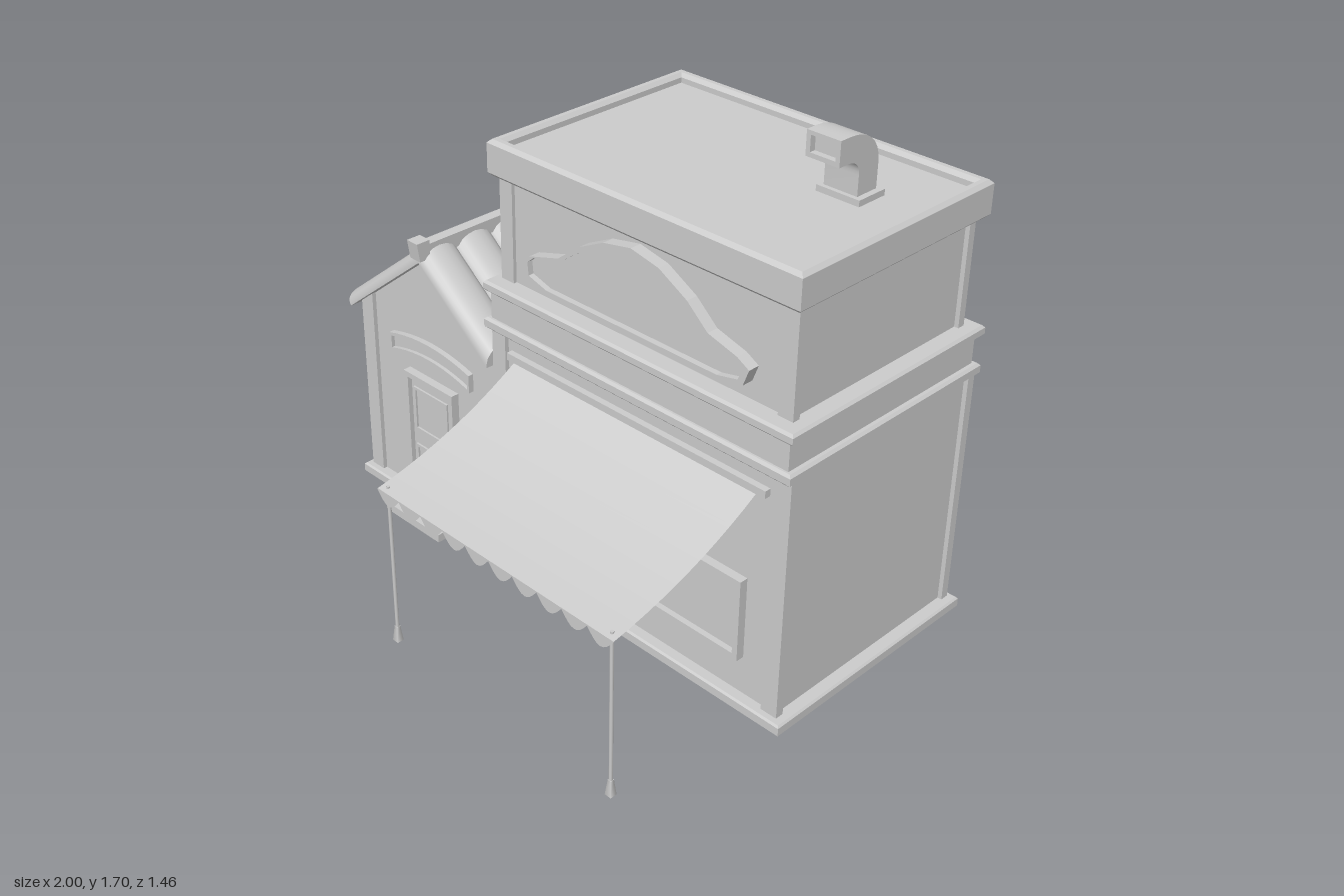
import * as THREE from 'three';
import { toCreasedNormals } from 'three/addons/utils/BufferGeometryUtils.js';

const grey = new THREE.MeshStandardMaterial({ color: 0xcccccc });
const sheet = new THREE.MeshStandardMaterial({ color: 0xcccccc, side: THREE.DoubleSide });

export function createModel() {
  const model = new THREE.Group();

  const add = (name, geo, mat = grey, parent = model) => {
    const m = new THREE.Mesh(geo, mat);
    m.name = name;
    parent.add(m);
    return m;
  };
  const box = (name, x0, x1, y0, y1, z0, z1) => add(name,
    new THREE.BoxGeometry(x1 - x0, y1 - y0, z1 - z0)
      .translate((x0 + x1) / 2, (y0 + y1) / 2, (z0 + z1) / 2));
  const shapeOf = (pts) => new THREE.Shape(pts.map(([x, y]) => new THREE.Vector2(x, y)));
  const rect = (x0, x1, y0, y1) => [[x0, y0], [x1, y0], [x1, y1], [x0, y1]];
  const extrude = (outer, inner, depth) => {
    const s = shapeOf(outer);
    if (inner) s.holes.push(shapeOf(inner));
    return new THREE.ExtrudeGeometry(s, { depth, bevelEnabled: false });
  };

  // Horizontal slab with chamfered edges, optionally a ring with rim width w
  const slab = (name, x0, x1, y0, y1, z0, z1, b, w) => {
    const s = shapeOf(rect(x0, x1, -z1, -z0));
    if (w) s.holes.push(shapeOf(rect(x0 + w, x1 - w, -z1 + w, -z0 - w)));
    const g = new THREE.ExtrudeGeometry(s, {
      depth: y1 - y0 - 2 * b, bevelThickness: b, bevelSize: b, bevelOffset: -b, bevelSegments: 1,
    });
    return add(name, g.rotateX(-Math.PI / 2).translate(0, y0 + b, 0));
  };

  // Raised frame around a thinner panel, standing on a wall at depth z
  const framed = (name, outer, inner, z, depth, panelDepth) => {
    const g = new THREE.Group();
    g.name = name;
    add(name + 'Frame', extrude(outer, inner, depth).translate(0, 0, z), grey, g);
    add(name + 'Panel', extrude(inner, null, panelDepth).translate(0, 0, z), grey, g);
    model.add(g);
    return g;
  };

  // Plinth and hollow shop walls
  slab('plinth', -0.96, 1.0, 0, 0.04, -0.70, 0.19, 0.006, 0.06);
  box('shopFrontWall', -0.23, 0.955, 0.02, 0.88, 0.135, 0.15);
  box('shopBackWall', -0.23, 0.955, 0.02, 0.88, -0.665, -0.65);
  box('shopRightWall', 0.94, 0.955, 0.02, 0.88, -0.66, 0.145);
  box('shopLeftWall', -0.245, -0.23, 0.7, 0.88, -0.66, 0.145);
  for (const [x0, x1] of [[-0.26, -0.20], [0.91, 0.97]])
    for (const [z0, z1] of [[0.135, 0.165], [-0.68, -0.65]])
      box('shopCornerPost', x0, x1, 0.03, 0.88, z0, z1);

  // Cornice band between the storeys
  slab('lowerCornice', -0.28, 0.975, 0.865, 0.905, -0.70, 0.18, 0.008);
  box('corniceBand', -0.26, 0.955, 0.9, 1.0, -0.68, 0.165);
  slab('upperCornice', -0.28, 0.975, 0.998, 1.035, -0.70, 0.18, 0.008);

  // Upper storey, parapet and roof deck
  box('upperStorey', -0.235, 0.915, 1.03, 1.4, -0.64, 0.115);
  for (const [x0, x1] of [[-0.25, -0.195], [0.875, 0.93]])
    for (const [z0, z1] of [[0.1, 0.127], [-0.652, -0.625]])
      box('upperCornerPost', x0, x1, 1.03, 1.4, z0, z1);
  slab('parapet', -0.26, 0.96, 1.39, 1.51, -0.677, 0.165, 0.012, 0.04);
  box('roofDeck', -0.24, 0.94, 1.395, 1.48, -0.655, 0.145);

  // Blank silhouette sign
  const sign = [[-0.12, 1.15], [-0.115, 1.1], [-0.035, 1.075], [0.69, 1.075], [0.77, 1.095],
    [0.79, 1.15], [0.745, 1.175], [0.635, 1.205], [0.555, 1.275], [0.445, 1.335], [0.335, 1.357],
    [0.225, 1.335], [0.125, 1.285], [0.035, 1.215], [-0.09, 1.177]];
  framed('roofSign', sign, sign.map(([x, y]) => [0.335 + (x - 0.335) * 0.955, 1.185 + (y - 1.185) * 0.88]),
    0.11, 0.045, 0.025);

  // Arched side window with sill
  const arch = (r, y0, ys) => {
    const p = [[-r, y0], [r, y0]];
    for (let i = 0; i <= 10; i++) p.push([r * Math.cos(i * Math.PI / 10), ys + r * Math.sin(i * Math.PI / 10)]);
    return p;
  };
  const sideWindow = framed('sideWindow', arch(0.08, 1.05, 1.235), arch(0.058, 1.07, 1.235), 0, 0.025, 0.006);
  add('windowBar', new THREE.BoxGeometry(0.012, 0.22, 0.014).translate(0, 1.175, 0.008), grey, sideWindow);
  sideWindow.rotation.y = -Math.PI / 2;
  sideWindow.position.set(-0.233, 0, -0.275);
  box('windowSill', -0.325, -0.23, 1.05, 1.065, -0.385, -0.165);

  // Bent square vent duct, profile drawn as (z, y)
  const duct = new THREE.Shape();
  duct.moveTo(-0.405, 1.47);
  duct.lineTo(-0.32, 1.47);
  duct.lineTo(-0.32, 1.565);
  duct.absarc(-0.37, 1.565, 0.05, 0, 0, false);
  duct.quadraticCurveTo(-0.32, 1.612, -0.27, 1.615);
  duct.lineTo(-0.25, 1.615);
  duct.lineTo(-0.25, 1.695);
  duct.lineTo(-0.27, 1.695);
  duct.bezierCurveTo(-0.345, 1.695, -0.405, 1.655, -0.405, 1.58);
  const ductGeo = new THREE.ExtrudeGeometry(duct, { depth: 0.12, bevelEnabled: false, curveSegments: 8 });
  add('ventDuct', toCreasedNormals(ductGeo.rotateY(-Math.PI / 2).translate(0.75, 0, 0), 0.6));
  add('ventMouth', extrude(rect(0.63, 0.75, 1.615, 1.695), rect(0.645, 0.735, 1.63, 1.682), 0.022)
    .translate(0, 0, -0.251));
  box('ventBase', 0.615, 0.77, 1.47, 1.5, -0.42, -0.305);

  // Shop window and awning
  framed('shopWindow', rect(-0.13, 0.82, 0.175, 0.465), rect(-0.11, 0.8, 0.195, 0.445), 0.145, 0.035, 0.015);
  box('awningRail', -0.185, 0.885, 0.785, 0.81, 0.14, 0.172);
  const ax0 = -0.155, ax1 = 0.85;
  const sag = new THREE.QuadraticBezierCurve(
    new THREE.Vector2(0.165, 0.787), new THREE.Vector2(0.42, 0.63), new THREE.Vector2(0.727, 0.575));
  const cloth = new THREE.PlaneGeometry(ax1 - ax0, 1, 1, 10);
  const cp = cloth.attributes.position;
  for (let i = 0; i < cp.count; i++) {
    const p = sag.getPoint(0.5 - cp.getY(i));
    cp.setXYZ(i, cp.getX(i) + (ax0 + ax1) / 2, p.y, p.x);
  }
  cloth.computeVertexNormals();
  add('awning', cloth, sheet);
  const valance = [[ax1, 0.577], [ax0, 0.577]];
  const n = 10, sw = (ax1 - ax0) / n;
  for (let i = 0; i < n; i++)
    for (let j = 0; j <= 8; j++)
      valance.push([ax0 + (i + j / 8) * sw, 0.573 - 0.04 * Math.sin(j * Math.PI / 8)]);
  add('valance', new THREE.ShapeGeometry(shapeOf(valance)).translate(0, 0, 0.727), sheet);
  for (const x of [-0.13, 0.823]) {
    add('awningPole', new THREE.CylinderGeometry(0.006, 0.006, 0.58, 8).translate(x, 0.295, 0.705));
    add('poleFoot', new THREE.CylinderGeometry(0.009, 0.017, 0.055, 4, 1).rotateY(Math.PI / 4)
      .translate(x, 0.0275, 0.705));
  }

  // Annex walls with gables
  const ridgeX = -0.585, ridgeY = 0.985, ang = Math.atan2(0.305, 0.385);
  const tan = Math.tan(ang), c = Math.cos(ang), sn = Math.sin(ang);
  const roofY = (x) => ridgeY - Math.abs(x - ridgeX) * tan;
  const gable = [[-0.925, 0.02], [-0.23, 0.02], [-0.23, roofY(-0.23)], [ridgeX, ridgeY], [-0.925, roofY(-0.925)]];
  add('annexFrontWall', extrude(gable, null, 0.015).translate(0, 0, 0.135));
  add('annexBackWall', extrude(gable, null, 0.015).translate(0, 0, -0.665));
  box('annexSideWall', -0.925, -0.91, 0.02, roofY(-0.925), -0.66, 0.145);
  for (const [z0, z1] of [[0.135, 0.165], [-0.68, -0.65]])
    add('annexCornerPost', extrude([[-0.94, 0.03], [-0.88, 0.03], [-0.88, roofY(-0.88)], [-0.94, roofY(-0.94)]],
      null, z1 - z0).translate(0, 0, z0));

  // Rounded roof tiles, mitred at the ridge and cut off at the shop wall
  const zMid = -0.257, half = 0.448, tiles = 6, tw = 2 * half / tiles, cut = -0.262;
  const wave = [[-half, 0], [half, 0]];
  for (let i = tiles - 1; i >= 0; i--)
    for (let j = 8; j >= 0; j--) {
      const a = j * Math.PI / 8;
      if (j < 8 || i === tiles - 1)
        wave.push([-half + (i + 0.5 - Math.cos(a) / 2) * tw, 0.01 + 0.04 * Math.sin(a)]);
    }
  for (const k of [-1, 1]) {
    const len = k < 0 ? 0.491 : 0.45;
    const g = extrude(wave, null, len), p = g.attributes.position;
    for (let i = 0; i < p.count; i++) {
      const u = p.getX(i), h = p.getY(i);
      let s = p.getZ(i);
      if (s < 1e-4) s = -h * tan;
      let x = ridgeX + k * (s * c + h * sn), y = ridgeY - s * sn + h * c;
      if (x > cut) { y += (x - cut) * tan; x = cut; }
      p.setXYZ(i, x, y, zMid - k * u);
    }
    add(k < 0 ? 'roofTilesLeft' : 'roofTilesRight', toCreasedNormals(g, 0.7));
  }
  box('ridgeBeam', -0.605, -0.565, 1.0, 1.05, -0.69, 0.17);
  for (const [z, d] of [[0.17, 1], [-0.69, -1]]) {
    const cap = extrude([[-0.01, 1.0], [0.032, 1.0], [0.042, 1.067], [-0.01, 1.067]], null, 0.05);
    cap.rotateY(-d * Math.PI / 2);
    if (d > 0) cap.rotateY(0);
    cap.translate(ridgeX + d * 0.025, 0, z);
    add('ridgeCap', cap);
  }

  // Door, knob and step
  const doorY = 0.04;
  framed('door', rect(-0.71, -0.46, doorY, 0.53), rect(-0.69, -0.48, doorY + 0.01, 0.51), 0.145, 0.035, 0.018);
  for (const [y0, y1] of [[0.09, 0.245], [0.305, 0.475]])
    add('doorMoulding', extrude(rect(-0.675, -0.5, y0, y1), rect(-0.665, -0.51, y0 + 0.01, y1 - 0.01), 0.008)
      .translate(0, 0, 0.162));
  add('doorKnob', new THREE.SphereGeometry(0.013, 12, 8).translate(-0.508, 0.28, 0.182));
  box('doorStep', -0.72, -0.44, 0, 0.03, 0.17, 0.28);

  // Arched sign board over the door
  const board = (e) => {
    const p = [];
    for (let i = 0; i <= 10; i++) { const u = i / 5 - 1; p.push([ridgeX + u * (0.205 - e), 0.575 + e + 0.03 * (1 - u * u)]); }
    for (let i = 10; i >= 0; i--) { const u = i / 5 - 1; p.push([ridgeX + u * (0.205 - e), 0.64 - e + 0.03 * (1 - u * u)]); }
    return p;
  };
  framed('doorSign', board(0), board(0.01), 0.145, 0.025, 0.012);

  // Hanging sign on a bracket, profile drawn as (z, y)
  const hang = new THREE.Shape();
  hang.moveTo(0.315, 0.455);
  hang.lineTo(0.185, 0.455);
  hang.lineTo(0.185, 0.35);
  hang.absarc(0.25, 0.35, 0.065, Math.PI, 2 * Math.PI, false);
  add('hangingSign', new THREE.ExtrudeGeometry(hang, { depth: 0.006, bevelEnabled: false })
    .rotateY(-Math.PI / 2).translate(-0.352, 0, 0));
  box('signBracket', -0.358, -0.352, 0.452, 0.459, 0.145, 0.34);

  return model;
}
